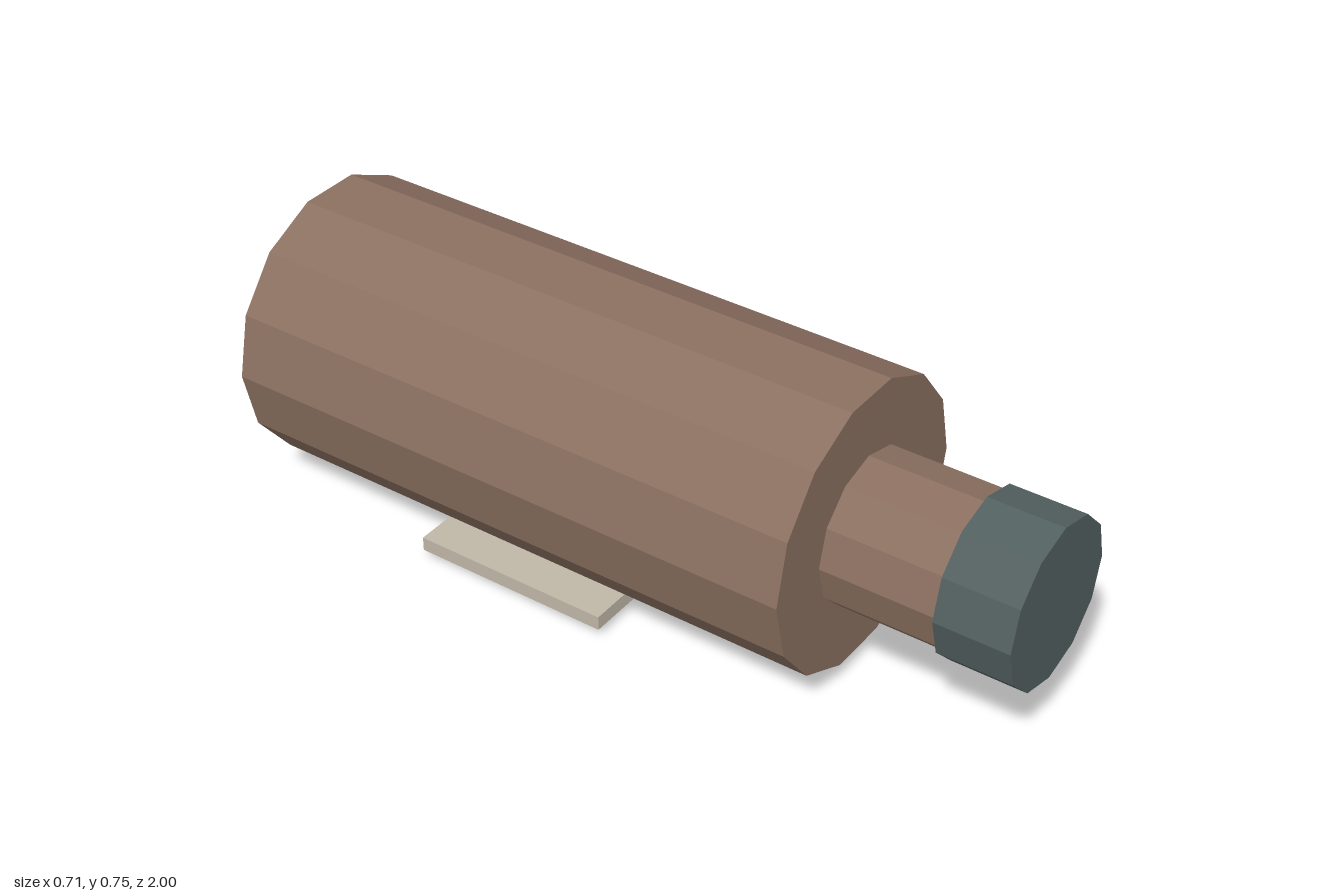
import * as THREE from 'three';

function material(name, color) {
  const m = new THREE.MeshStandardMaterial({ color, flatShading: true });
  m.name = name;
  return m;
}

export function createModel() {
  const group = new THREE.Group();
  const brown = material('brown', 0x8b7060);
  const slate = material('slate', 0x536060);
  const stone = material('stone', 0xbfb7a6);
  const green = material('green', 0x6f8c70);
  const axisY = 0.406;

  function add(name, geometry, mat, x, y, z) {
    const mesh = new THREE.Mesh(geometry, mat);
    mesh.name = name;
    mesh.position.set(x, y, z);
    group.add(mesh);
  }

  // Faceted cylinder lying along z, with a corner on each side (+x and -x)
  function barrel(name, radius, sides, zBack, zFront, mat) {
    const g = new THREE.CylinderGeometry(radius, radius, zFront - zBack, sides, 1, false, Math.PI / 2);
    g.rotateX(Math.PI / 2);
    add(name, g, mat, 0, axisY, (zBack + zFront) / 2);
  }

  barrel('body', 0.357, 14, -1, 0.523, brown);
  barrel('neck', 0.19, 12, 0.523, 0.813, brown);
  barrel('cap', 0.204, 12, 0.813, 1, slate);

  // Mounting plate and foot pad under the body
  add('mountPlate', new THREE.BoxGeometry(0.524, 0.037, 0.524), stone, 0, 0.0435, -0.283);
  add('footPad', new THREE.BoxGeometry(0.382, 0.025, 0.164), green, 0, 0.0125, -0.285);

  return group;
}
